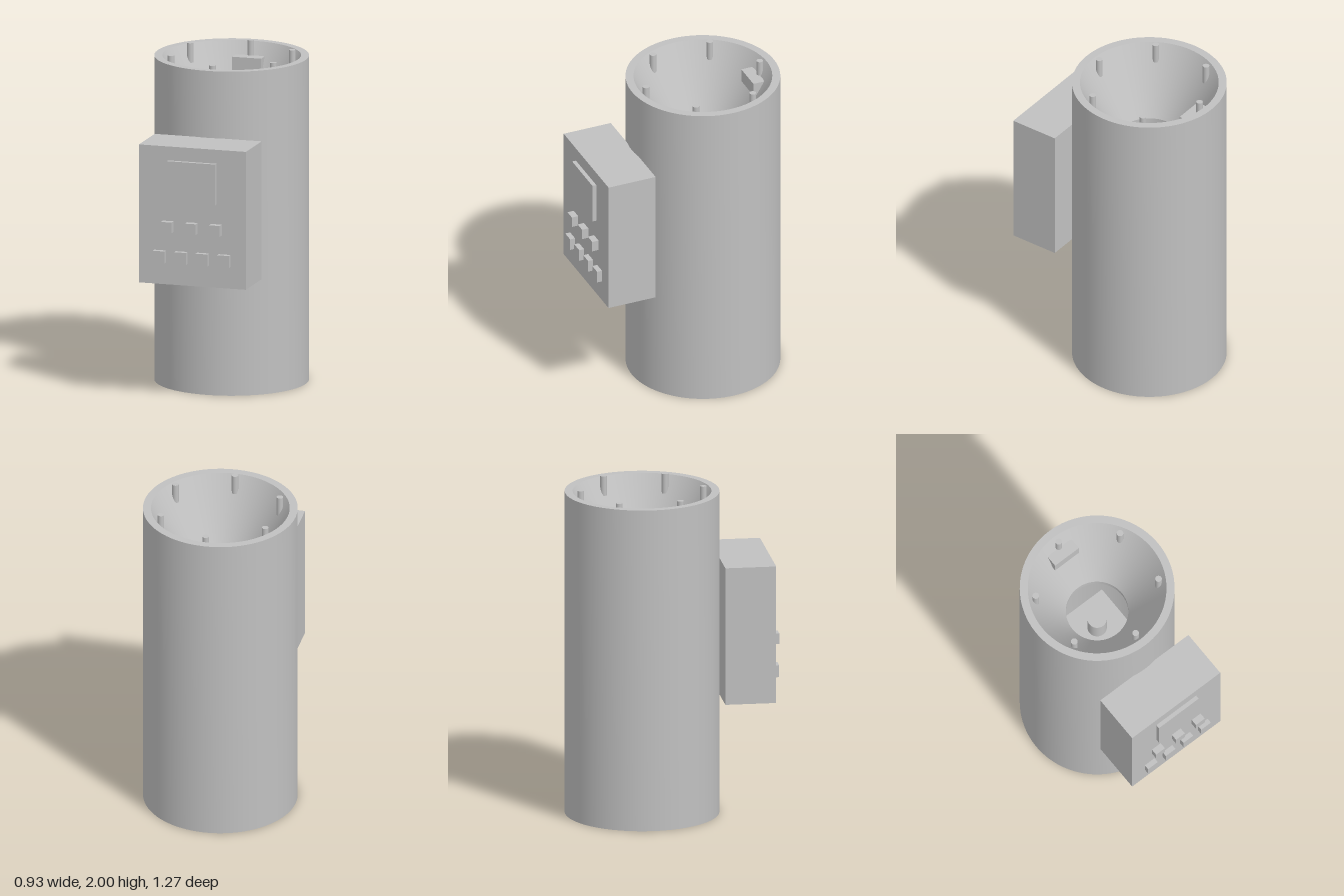
import * as THREE from 'three';
import { toCreasedNormals } from 'three/addons/utils/BufferGeometryUtils.js';

const AXIS_Z = -0.17; // centre line of the round body

export function createModel() {
  const grey = new THREE.MeshStandardMaterial({ color: 0xc0c0c0 });
  grey.name = 'grey';
  const model = new THREE.Group();
  model.name = 'dispenser';

  const add = (name, geometry, x, y, z, parent = model) => {
    const mesh = new THREE.Mesh(geometry, grey);
    mesh.name = name;
    mesh.position.set(x, y, z);
    parent.add(mesh);
    return mesh;
  };
  // Box given by its centre in x, and its extents in y and z
  const box = (name, x, w, y0, y1, z0, z1, parent) =>
    add(name, new THREE.BoxGeometry(w, y1 - y0, z1 - z0), x, (y0 + y1) / 2, (z0 + z1) / 2, parent);

  // Hollow body: outer wall, rim, funnel, inner wall and holed floor in one closed profile
  const profile = [
    [0.168, 0], [0.463, 0], [0.463, 1.985], [0.415, 1.985],
    [0.187, 1.585], [0.187, 1.55], [0.415, 1.93],
    [0.415, 0.065], [0.168, 0.065], [0.168, 0],
  ].map(([r, y]) => new THREE.Vector2(r, y));
  add('body', toCreasedNormals(new THREE.LatheGeometry(profile, 96), 0.5), 0, 0, AXIS_Z);

  // Ring of posts around the funnel mouth
  const posts = new THREE.Group();
  posts.name = 'posts';
  model.add(posts);
  for (let i = 0; i < 6; i++) {
    const a = (i * Math.PI) / 3;
    add('post', new THREE.CylinderGeometry(0.02, 0.02, 0.12, 24),
      0.371 * Math.sin(a), 1.94, AXIS_Z + 0.371 * Math.cos(a), posts);
  }

  // Sensor block on the back of the funnel
  box('sensorBlock', 0, 0.182, 1.825, 1.907, -0.535, -0.46);

  // Motor and shaft under the funnel
  box('motor', 0, 0.344, 0.95, 1.3, AXIS_Z - 0.172, AXIS_Z + 0.172);
  add('motorShaft', new THREE.CylinderGeometry(0.058, 0.058, 0.15, 32), 0, 1.375, AXIS_Z);

  // Control box with screen and two rows of buttons
  const panel = new THREE.Group();
  panel.name = 'controlPanel';
  model.add(panel);
  box('controlBox', 0, 0.672, 0.73, 1.575, 0.285, 0.592, panel);
  box('screen', 0, 0.304, 1.24, 1.49, 0.58, 0.617, panel);
  for (const x of [-0.152, 0, 0.152])
    box('upperButton', x, 0.067, 1.053, 1.119, 0.58, 0.633, panel);
  for (let i = 0; i < 4; i++)
    box('lowerButton', (i - 1.5) * 0.135, 0.074, 0.863, 0.937, 0.58, 0.624, panel);

  return model;
}
